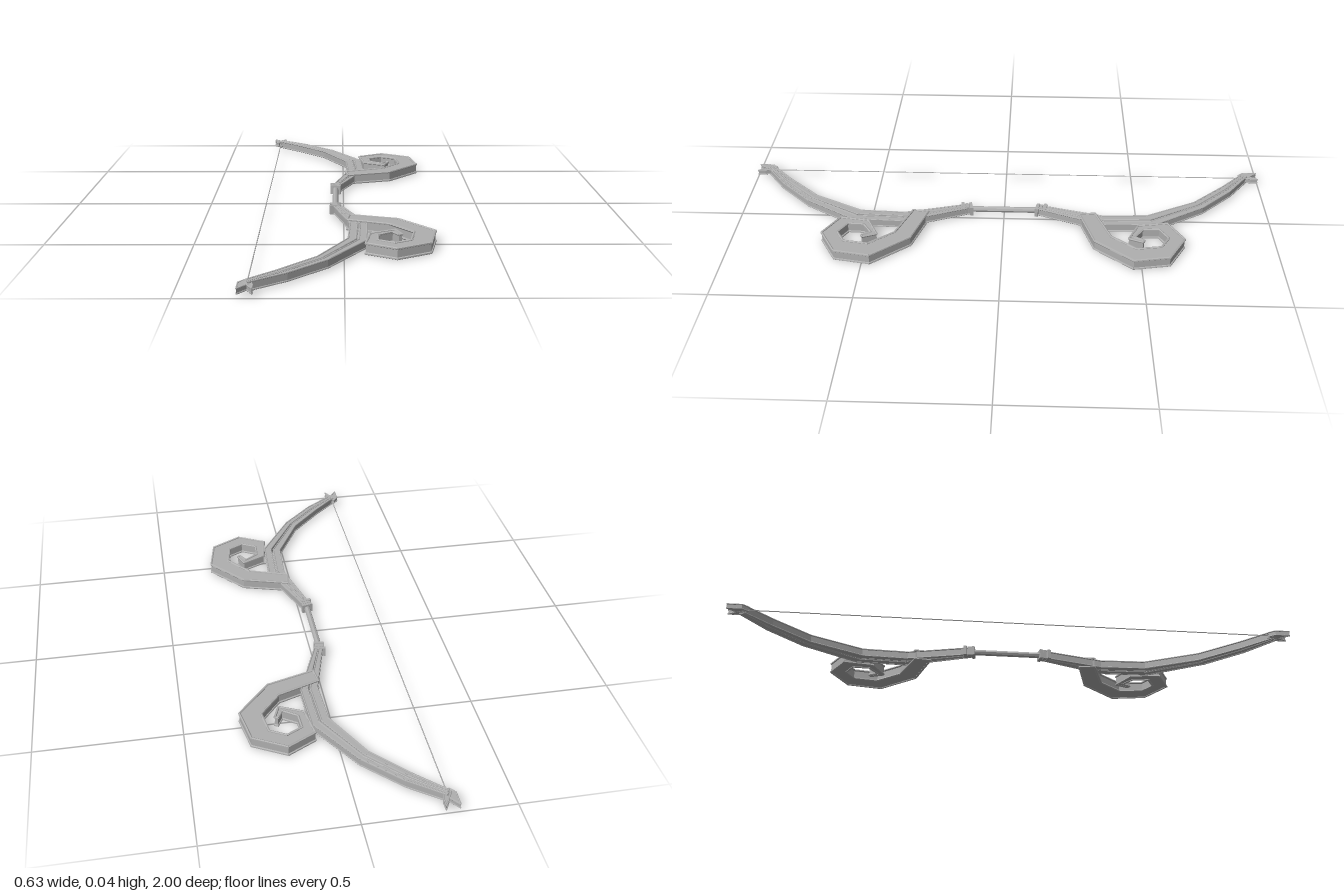
import * as THREE from 'three';
import { mergeGeometries } from 'three/addons/utils/BufferGeometryUtils.js';

const grey = new THREE.MeshStandardMaterial({ color: 0xb0b0b0, flatShading: true });
grey.name = 'plain grey';
const MID = 0.022;

function add(parent, name, geometry) {
  const mesh = new THREE.Mesh(geometry, grey);
  mesh.name = name;
  parent.add(mesh);
}

// Straight rod between two points
function rod(a, b, radius, sides = 6) {
  const dir = b.clone().sub(a);
  const g = new THREE.CylinderGeometry(radius, radius, dir.length() + radius * 0.6, sides);
  g.applyQuaternion(new THREE.Quaternion().setFromUnitVectors(new THREE.Vector3(0, 1, 0), dir.normalize()));
  const c = a.clone().add(b).multiplyScalar(0.5);
  return g.translate(c.x, c.y, c.z);
}

// Flat plate from an [x, z] outline, centred on the mid height
function plate(points, height) {
  const shape = new THREE.Shape(points.map(([x, z]) => new THREE.Vector2(x, z)));
  const g = new THREE.ExtrudeGeometry(shape, { depth: height, bevelEnabled: false });
  return g.rotateX(Math.PI / 2).translate(0, MID + height / 2, 0);
}

// Raised bead along the top and bottom edges of a plate
function rims(points, height, radius) {
  const parts = [];
  for (const y of [MID - height / 2, MID + height / 2]) {
    points.forEach(([x, z], i) => {
      const [x2, z2] = points[(i + 1) % points.length];
      parts.push(rod(new THREE.Vector3(x, y, z), new THREE.Vector3(x2, y, z2), radius));
    });
  }
  return mergeGeometries(parts);
}

function rimmedPlate(parent, name, points, height, radius) {
  add(parent, name, plate(points, height));
  add(parent, name + 'Rim', rims(points, height, radius));
}

// Scroll: matching outer and inner edges, from root to curled end
const scrollOuter = [[0.02, 0.285], [0.19, 0.335], [0.307, 0.47], [0.283, 0.6], [0.17, 0.662], [0.07, 0.608], [0.088, 0.5], [0.172, 0.46], [0.192, 0.51]];
const scrollInner = [[0.012, 0.342], [0.16, 0.395], [0.235, 0.485], [0.22, 0.575], [0.165, 0.605], [0.11, 0.575], [0.113, 0.515], [0.163, 0.482], [0.182, 0.515]];

// Limb: matching string-side and far-side edges, from grip to tip
const limbNear = [[-0.04, 0.14], [-0.01, 0.25], [0.022, 0.37], [0.014, 0.54], [-0.083, 0.725], [-0.2, 0.85], [-0.29, 0.935]];
const limbFar = [[-0.018, 0.13], [0.03, 0.25], [0.08, 0.38], [0.073, 0.56], [-0.05, 0.755], [-0.17, 0.875], [-0.28, 0.955]];

// Tip prongs forming a notch
const prongs = [
  [[-0.295, 0.925], [-0.312, 0.945], [-0.312, 0.997], [-0.282, 0.96]],
  [[-0.298, 0.94], [-0.267, 0.997], [-0.267, 0.97], [-0.278, 0.925]],
];

function createArm(side) {
  const arm = new THREE.Group();
  arm.name = side > 0 ? 'frontArm' : 'backArm';
  const flip = (pts) => pts.map(([x, z]) => [x, z * side]);

  rimmedPlate(arm, 'scroll', flip([...scrollOuter, ...[...scrollInner].reverse()]), 0.034, 0.0045);

  // Two parallel strands with a slot between them
  const across = (t) => limbNear.map(([x, z], i) => [
    x + (limbFar[i][0] - x) * t, z + (limbFar[i][1] - z) * t]);
  [[0, 0.42], [0.6, 1]].forEach(([a, b], i) => {
    const outline = [...across(a), ...across(b).reverse()];
    rimmedPlate(arm, i ? 'outerStrand' : 'innerStrand', flip(outline), 0.026, 0.003);
  });

  prongs.forEach((p) => rimmedPlate(arm, 'tipProng', flip(p), 0.016, 0.0025));

  // Collar where the limb meets the grip
  for (const [z, w] of [[0.126, 0.04], [0.14, 0.03], [0.155, 0.04]]) {
    const g = new THREE.BoxGeometry(w, 0.034, 0.012);
    g.rotateY(side * 0.2).translate(-0.03, MID, side * z);
    add(arm, 'collar', g);
  }
  return arm;
}

export function createModel() {
  const bow = new THREE.Group();
  bow.name = 'bow';
  bow.add(createArm(1), createArm(-1));
  const v = (x, z) => new THREE.Vector3(x, MID, z);
  add(bow, 'grip', rod(v(-0.03, -0.13), v(-0.03, 0.13), 0.011, 8));
  add(bow, 'string', rod(v(-0.287, -0.95), v(-0.287, 0.95), 0.002));
  return bow;
}
